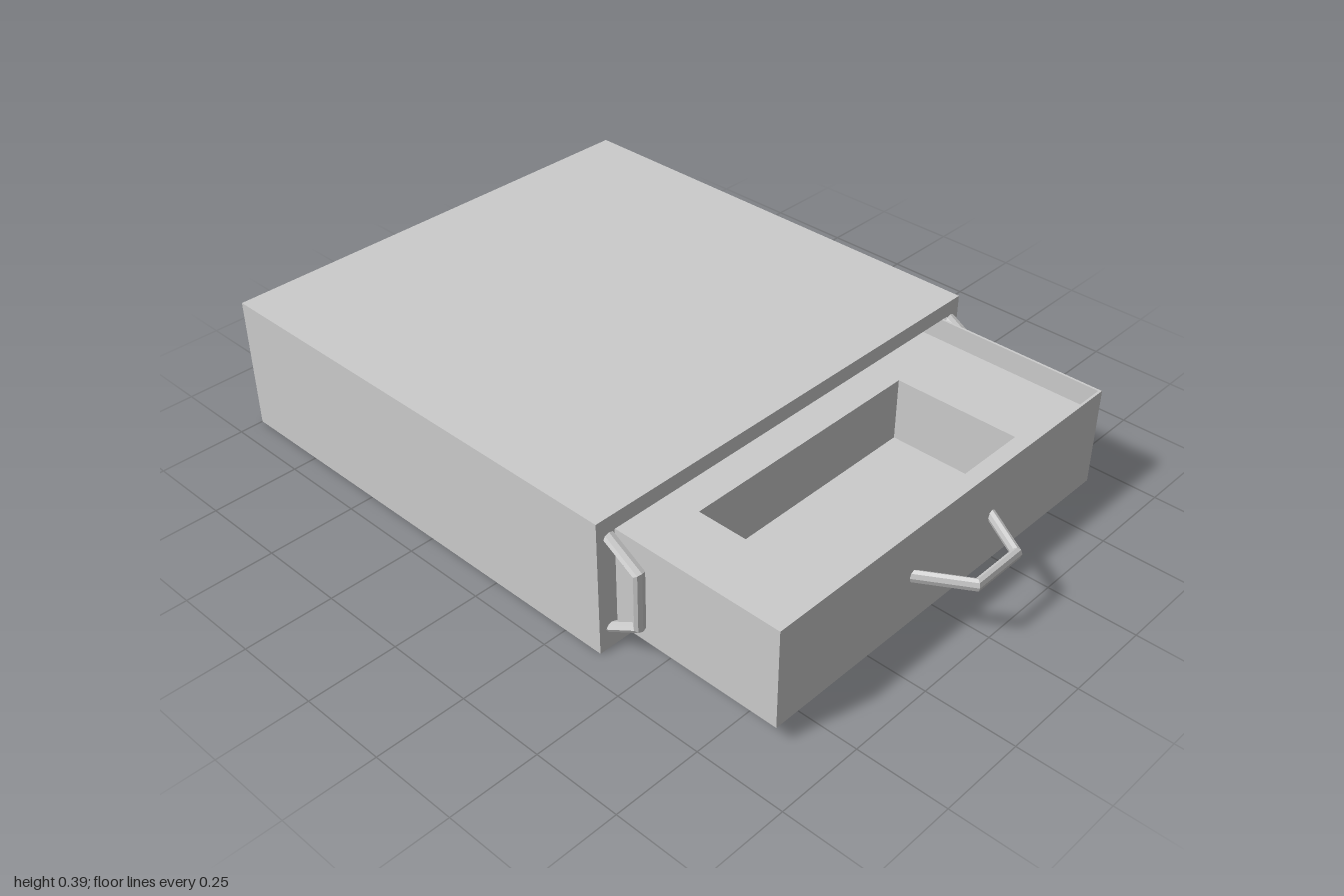
import * as THREE from 'three';

const grey = new THREE.MeshStandardMaterial({ color: 0xcccccc });

function add(parent, name, geometry) {
  const mesh = new THREE.Mesh(geometry, grey);
  mesh.name = name;
  parent.add(mesh);
  return mesh;
}

// Box given by its lower and upper corners
function boxBetween(x0, y0, z0, x1, y1, z1) {
  return new THREE.BoxGeometry(x1 - x0, y1 - y0, z1 - z0)
    .translate((x0 + x1) / 2, (y0 + y1) / 2, (z0 + z1) / 2);
}

// Rectangular frame [x0, y0, x1, y1] with a rectangular hole, extruded along +z
function frame(outer, hole, depth) {
  const corners = ([x0, y0, x1, y1]) => [[x0, y0], [x1, y0], [x1, y1], [x0, y1]]
    .map(([x, y]) => new THREE.Vector2(x, y));
  const shape = new THREE.Shape(corners(outer));
  shape.holes.push(new THREE.Path(corners(hole)));
  return new THREE.ExtrudeGeometry(shape, { depth, bevelEnabled: false });
}

// Same frame lying flat: rectangles are [x0, z0, x1, z1], extruded upwards from y0 to y1
function flatFrame(outer, hole, y0, y1) {
  const flip = ([x0, z0, x1, z1]) => [x0, -z1, x1, -z0];
  return frame(flip(outer), flip(hole), y1 - y0).rotateX(-Math.PI / 2).translate(0, y0, 0);
}

// Bent bar handle: mitred oval sections along a trapezoid, span along x, reaching out to +z
function handleGeometry(halfSpan, halfGrip, reach) {
  const sides = 8, thick = 0.012, tall = 0.018;
  const z = reach - thick;
  const path = [[-halfSpan, 0], [-halfGrip, z], [halfGrip, z], [halfSpan, 0]];
  const slope = Math.atan2(z, halfSpan - halfGrip);
  const end = thick / Math.sin(slope);
  const miter = thick * Math.tan(slope / 2);
  // Outward offset of each section in the x-z plane
  const offset = [[-end, 0], [-miter, thick], [miter, thick], [end, 0]];
  const positions = [], index = [];
  path.forEach(([px, pz], i) => {
    for (let j = 0; j <= sides; j++) {
      const a = (j / sides) * Math.PI * 2;
      const c = Math.cos(a);
      positions.push(px + offset[i][0] * c, tall * Math.sin(a), pz + offset[i][1] * c);
    }
  });
  const row = sides + 1;
  for (let i = 0; i < path.length - 1; i++) {
    for (let j = 0; j < sides; j++) {
      const a = i * row + j, b = a + row;
      index.push(a, b, a + 1, b, b + 1, a + 1);
    }
  }
  const geometry = new THREE.BufferGeometry();
  geometry.setAttribute('position', new THREE.Float32BufferAttribute(positions, 3));
  geometry.setIndex(index);
  const flat = geometry.toNonIndexed();
  flat.computeVertexNormals();
  return flat;
}

export function createModel() {
  const model = new THREE.Group();
  model.name = 'drawerUnit';

  // Cabinet shell, open at the front
  const cabinet = new THREE.Group();
  cabinet.name = 'cabinet';
  model.add(cabinet);
  add(cabinet, 'shell', frame([-0.68, 0, 0.68, 0.39], [-0.622, 0.046, 0.633, 0.345], 1.32))
    .position.z = -0.95;
  add(cabinet, 'backPanel', boxBetween(-0.68, 0, -1, 0.68, 0.39, -0.95));

  // Pulled-out drawer with thin walls and a sunken tray
  const drawer = new THREE.Group();
  drawer.name = 'drawer';
  model.add(drawer);
  const back = -0.35, t = 0.007;
  const outer = [-0.615, back, 0.626, 0.862];
  const inner = [outer[0] + t, back + t, outer[2] - t, outer[3] - t];
  add(drawer, 'drawerWalls', flatFrame(outer, inner, 0.053, 0.338));
  add(drawer, 'trayTop', flatFrame(inner, [-0.38, 0.405, 0.385, 0.772], 0.09, 0.275));
  add(drawer, 'drawerFloor', boxBetween(inner[0], 0.053, inner[1], inner[2], 0.09, inner[3]));

  // Handle on the drawer front
  const drawerHandle = add(drawer, 'drawerHandle', handleGeometry(0.155, 0.078, 0.138));
  drawerHandle.position.set(0.016, 0.197, 0.862);

  // Upright handles beside the drawer
  for (const [name, x] of [['rightHandle', -0.64], ['leftHandle', 0.647]]) {
    const handle = add(cabinet, name, handleGeometry(0.135, 0.08, 0.105));
    handle.rotation.z = Math.PI / 2;
    handle.position.set(x, 0.197, 0.37);
  }

  return model;
}
